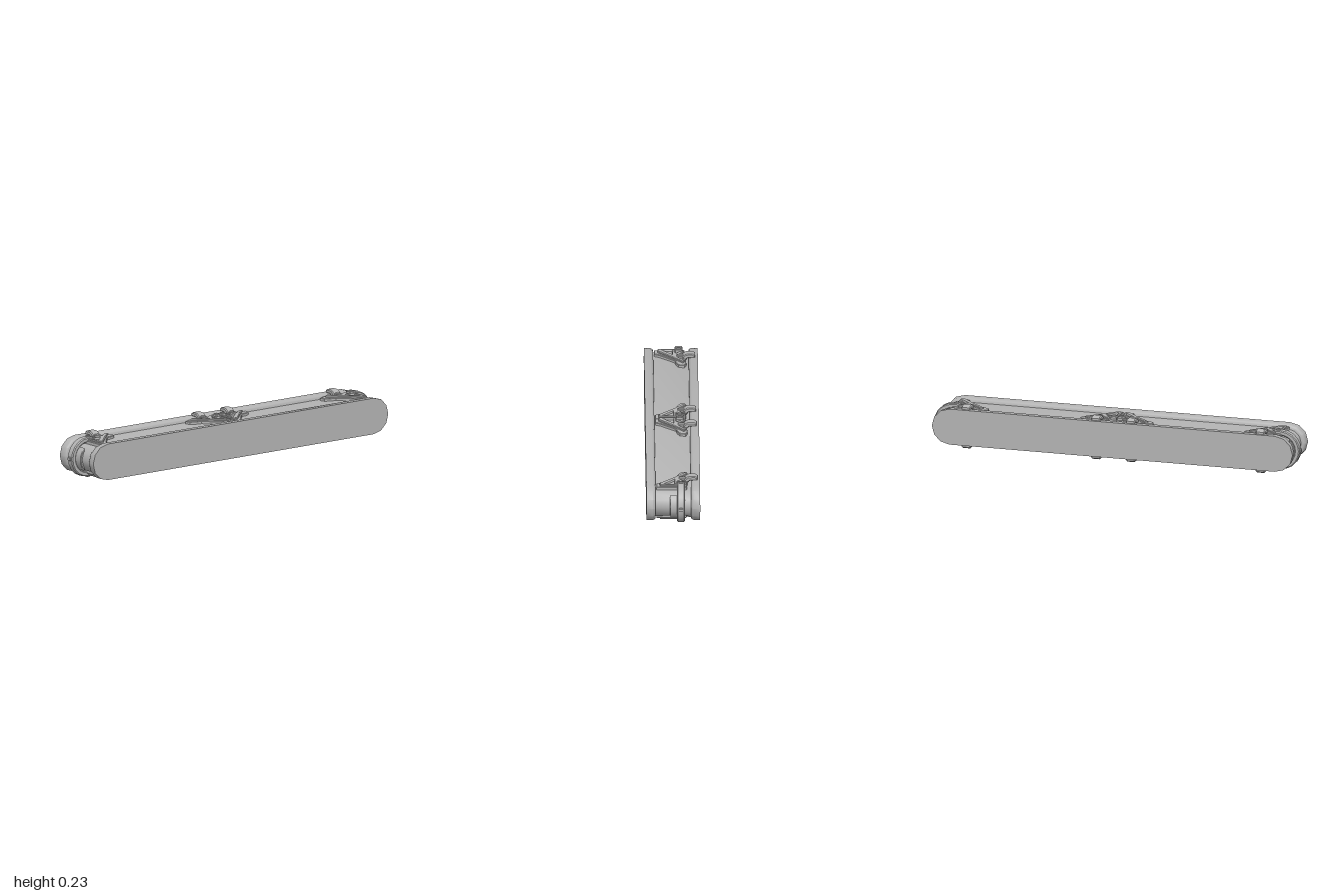
import * as THREE from 'three';
import { toCreasedNormals } from 'three/addons/utils/BufferGeometryUtils.js';

const MID = 0.115; // height of the long axis
const CX = 0.885; // centre of each rounded end
const grey = new THREE.MeshStandardMaterial({ color: 0xb4b4b4 });
grey.name = 'grey';

function mesh(name, geometry, crease = 0.65) {
  const m = new THREE.Mesh(toCreasedNormals(geometry, crease), grey);
  m.name = name;
  return m;
}

function arc(cx, r, from, to, n) {
  return Array.from({ length: n + 1 }, (_, i) => {
    const a = from + ((to - from) * i) / n;
    return [cx + r * Math.cos(a), r * Math.sin(a)];
  });
}

const shapeOf = (pts) => new THREE.Shape(pts.map(([x, y]) => new THREE.Vector2(x, y)));

function bevelled(shape, depth, bevel) {
  return new THREE.ExtrudeGeometry(shape, {
    depth: depth - 2 * bevel, steps: 1, bevelEnabled: bevel > 0,
    bevelSize: bevel, bevelOffset: -bevel, bevelThickness: bevel, bevelSegments: 1,
  }).translate(0, 0, bevel);
}

// Stadium-shaped solid lofted along z through [z, radius] sections
function stadium(sections) {
  const H = Math.PI / 2;
  const rings = sections.map(([z, r]) =>
    [...arc(CX, r, -H, H, 6), ...arc(-CX, r, H, 3 * H, 6)].map(([x, y]) => [x, y, z]));
  const n = rings[0].length;
  const pos = rings.flat(2);
  const index = [];
  for (let k = 0; k < rings.length - 1; k++) {
    for (let i = 0; i < n; i++) {
      const a = k * n + i, b = k * n + ((i + 1) % n);
      index.push(a, b, b + n, a, b + n, a + n);
    }
  }
  const last = (rings.length - 1) * n;
  for (let i = 1; i < n - 1; i++) {
    index.push(0, i + 1, i, last, last + i, last + i + 1);
  }
  const g = new THREE.BufferGeometry();
  g.setAttribute('position', new THREE.Float32BufferAttribute(pos, 3));
  g.setIndex(index);
  return g;
}

// Flat plate outlined in (x, z), standing from height y0 to y1
function plate(pts, y0, y1, bevel, hole) {
  const shape = shapeOf(pts.map(([x, z]) => [x, -z]));
  if (hole) shape.holes.push(shapeOf(hole.map(([x, z]) => [x, -z])));
  return bevelled(shape, y1 - y0, bevel).rotateX(-Math.PI / 2).translate(0, y0, 0);
}

// Box given by its limits, with chamfered top corners
function block(x0, x1, y0, y1, z0, z1, bevel = 0.004) {
  return plate([[x0, z0], [x1, z0], [x1, z1], [x0, z1]], y0, y1, bevel);
}

// Bracket with a triangular brace and a hook; s mirrors it along x
function clasp(x0, s) {
  const g = new THREE.Group();
  g.name = 'clasp';
  const at = (pts) => pts.map(([u, z]) => [x0 + s * u, z]);

  g.add(mesh('bracketBase', plate(at([
    [0, -0.07], [0.17, -0.08], [0.2, -0.07], [0.195, -0.04], [0.165, -0.025],
    [0.135, -0.02], [0.065, 0.06], [0.05, 0.088], [0, 0.088],
  ]), 0.065, 0.088, 0.003)));

  g.add(mesh('triangleBrace', plate(at([
    [0.008, -0.022], [0.05, -0.022], [0.07, -0.035], [0.12, -0.035], [0.125, -0.02],
    [0.035, 0.07], [0.008, 0.07],
  ]), 0.08, 0.098, 0.004, at([[0.021, -0.007], [0.021, 0.045], [0.077, -0.007]]))));

  // Sloping arms either side of the hook
  g.add(mesh('outerArm', plate(at([
    [0.155, -0.072], [0.172, -0.062], [0.125, -0.018], [0.105, -0.03],
  ]), 0.08, 0.098, 0.003)));
  g.add(mesh('innerArm', plate(at([
    [0.04, -0.072], [0.028, -0.055], [0.07, -0.018], [0.09, -0.03],
  ]), 0.08, 0.098, 0.003)));

  // Hook reaching over the back rim
  const hook = shapeOf([
    [0.06, 0.085], [0.06, 0.1], [0.075, 0.112], [0.085, 0.115], [0.115, 0.115],
    [0.126, 0.107], [0.126, 0.093], [0.09, 0.093], [0.08, 0.085],
  ]);
  const hx = x0 + s * 0.095;
  g.add(mesh('hook', bevelled(hook, 0.05, 0.005).rotateY(Math.PI / 2).translate(hx - 0.025, 0, 0)));
  g.add(mesh('hookStem', block(hx - 0.013, hx + 0.013, 0.08, 0.103, -0.075, -0.03)));

  // Stud on the strap
  const kx = x0 + s * 0.02;
  g.add(mesh('stud', block(kx - 0.01, kx + 0.01, 0.095, 0.11, -0.05, -0.03, 0.003)));
  return g;
}

// Fittings on one long face
function fittings(name) {
  const g = new THREE.Group();
  g.name = name;
  for (const s of [1, -1]) {
    g.add(clasp(0, s), clasp(s * 0.895, -s));
    g.add(mesh('centreLink', block(s * 0.02 - 0.018, s * 0.02 + 0.018, 0.08, 0.104, -0.06, -0.02, 0.005)));
  }
  return g;
}

// Strap, backing pad and stud wrapped around the +x end
function endStrap(name) {
  const g = new THREE.Group();
  g.name = name;
  const H = Math.PI / 2;
  const band = (cx, tail, rOut, rIn) => shapeOf([
    [tail, -rOut], ...arc(cx, rOut, -H, H, 10), [tail, rOut],
    [tail, rIn], ...arc(cx, rIn, H, -H, 10), [tail, -rIn],
  ]);
  g.add(mesh('strap', bevelled(band(0.89, 0.855, 0.104, 0.078), 0.04, 0.005).translate(0, 0, -0.06)));
  const pad = shapeOf(arc(0.888, 0.08, -0.85, 0.85, 6));
  g.add(mesh('backingPad', bevelled(pad, 0.078, 0.003).translate(0, 0, -0.06)));
  g.add(mesh('endStud', block(0.985, 1, -0.01, 0.01, -0.05, -0.03, 0.003)));
  return g;
}

export function createModel() {
  const model = new THREE.Group();
  model.name = 'longCase';
  const body = new THREE.Group();
  body.name = 'body';
  body.position.y = MID;
  model.add(body);

  // Core and the two rims with rounded inner edges
  body.add(mesh('core', stadium([[-0.1, 0.073], [0.1, 0.073]])));
  body.add(mesh('frontRim', stadium([
    [0.092, 0.083], [0.096, 0.09], [0.105, 0.095], [0.14, 0.096],
  ])));
  body.add(mesh('backRim', stadium([
    [-0.14, 0.096], [-0.105, 0.095], [-0.096, 0.09], [-0.092, 0.083],
  ])));

  // Matching fittings above and below, straps at both ends
  const top = fittings('topFittings');
  const bottom = fittings('bottomFittings');
  bottom.rotation.z = Math.PI;
  const left = endStrap('leftEnd');
  const right = endStrap('rightEnd');
  right.rotation.z = Math.PI;
  body.add(top, bottom, left, right);
  return model;
}
